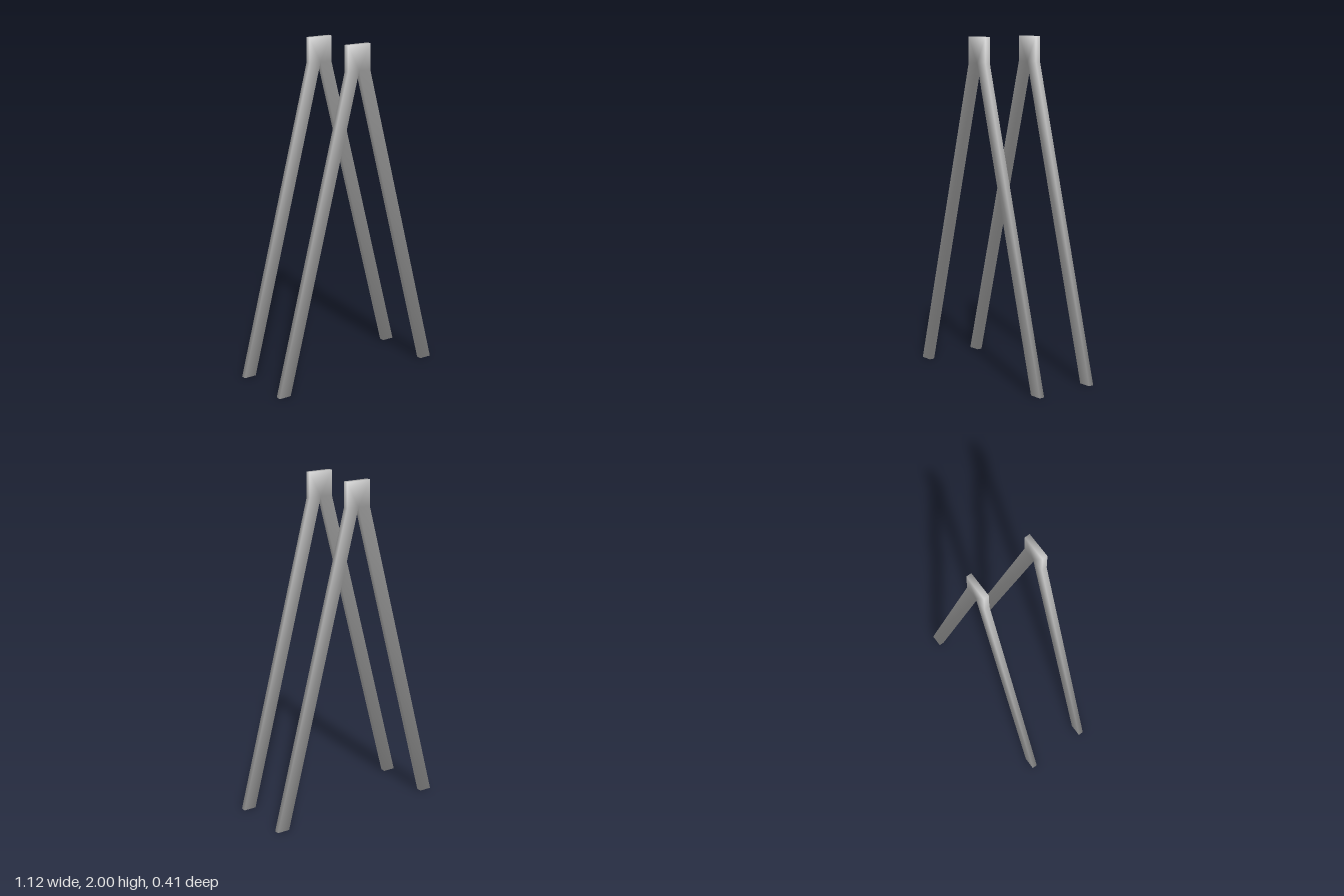
import * as THREE from 'three';

const THICKNESS = 0.032;
const OUTER_Z = 0.204;

// Clockwise A-shaped outline: square head, right leg, apex of the gap, left leg
const OUTLINE = [
  [-0.078, 2], [0.078, 2], [0.078, 1.85], [0.562, 0], [0.486, 0],
  [0, 1.85], [-0.486, 0], [-0.562, 0], [-0.078, 1.85],
].map(([x, y]) => new THREE.Vector2(x, y));

// Front face split into the head fan and the two mirrored legs
const FACE = [[5, 1, 0], [5, 2, 1], [5, 0, 8], [5, 4, 3], [5, 3, 2], [5, 8, 7], [5, 7, 6]];

// Outward direction of the outline edge that starts at point i
function edgeNormal(i) {
  const n = OUTLINE.length;
  const d = OUTLINE[(i + 1) % n].clone().sub(OUTLINE[i % n]).normalize();
  return new THREE.Vector2(-d.y, d.x);
}

// Flat bar with shared corners; each corner normal blends its three faces equally
function frameGeometry() {
  const n = OUTLINE.length;
  const positions = [], normals = [], index = [];
  for (const side of [1, -1]) {
    OUTLINE.forEach((p, i) => {
      positions.push(p.x, p.y, side * THICKNESS / 2);
      const edge = edgeNormal(i).add(edgeNormal(i + n - 1));
      normals.push(...new THREE.Vector3(edge.x, edge.y, side).normalize().toArray());
    });
  }
  // Front and back faces
  for (const [a, b, c] of FACE) index.push(a, b, c, a + n, c + n, b + n);
  // Rim
  for (let i = 0; i < n; i++) {
    const j = (i + 1) % n;
    index.push(i, j, j + n, i, j + n, i + n);
  }
  const geometry = new THREE.BufferGeometry();
  geometry.setAttribute('position', new THREE.Float32BufferAttribute(positions, 3));
  geometry.setAttribute('normal', new THREE.Float32BufferAttribute(normals, 3));
  geometry.setIndex(index);
  return geometry;
}

export function createModel() {
  const model = new THREE.Group();
  model.name = 'trestlePair';
  const material = new THREE.MeshStandardMaterial({ color: 0xcccccc });
  const geometry = frameGeometry();

  // Matching front and back frames
  for (const [name, side] of [['frontFrame', 1], ['backFrame', -1]]) {
    const frame = new THREE.Mesh(geometry, material);
    frame.name = name;
    frame.position.z = side * (OUTER_Z - THICKNESS / 2);
    model.add(frame);
  }
  return model;
}
